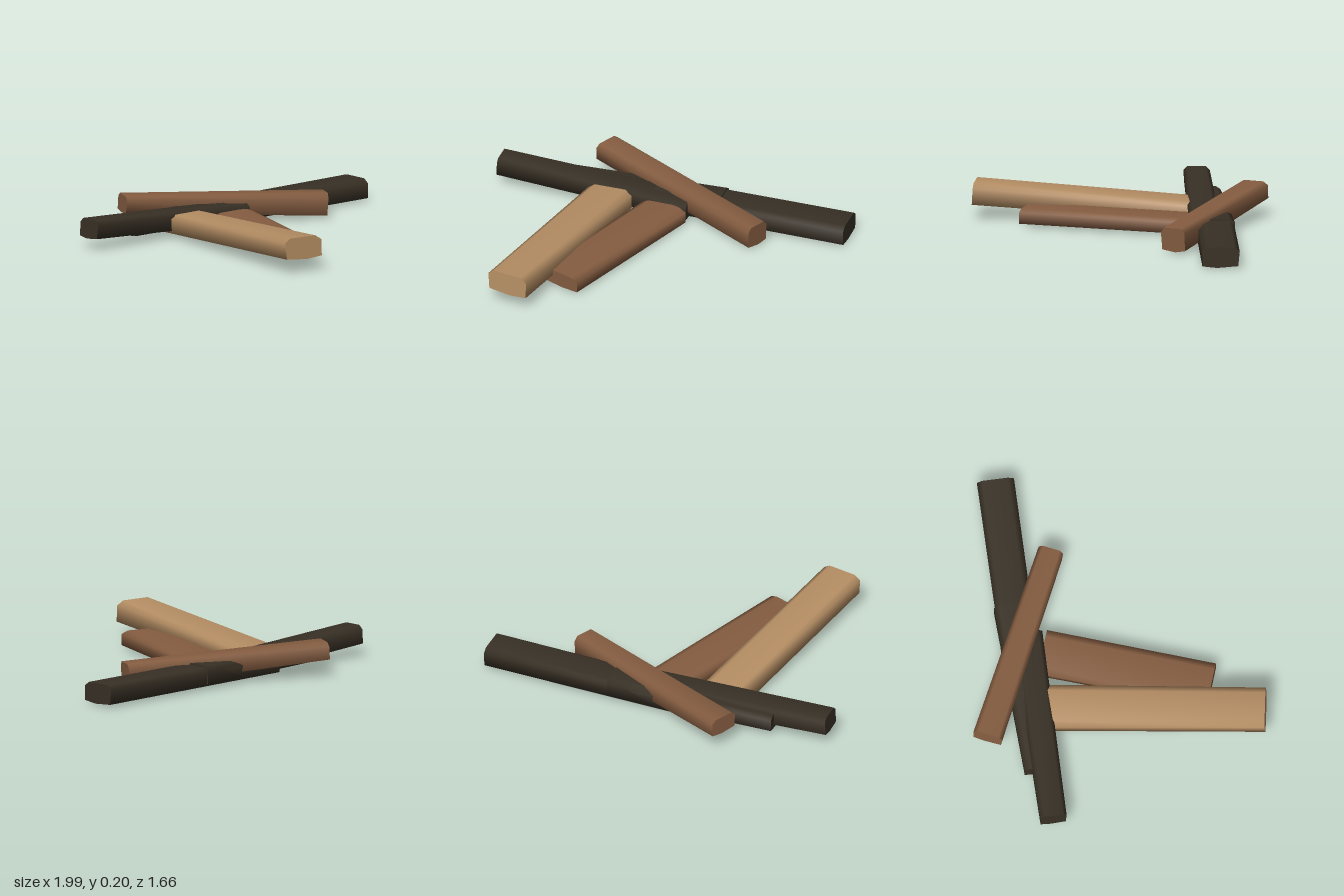
import * as THREE from 'three';

// Bevelled hand-hewn section, counter-clockwise, in fractions of width and height
const SECTION = [[-0.46, -0.42], [0.1, -0.5], [0.5, -0.42], [0.5, 0.3], [0.34, 0.5], [-0.36, 0.5], [-0.5, 0.3]];

// Smooth-sided beam with flat ends; sizes are [width, height] at either end
function beamGeometry(from, to, sizeA, sizeB) {
  const a = new THREE.Vector3(...from), b = new THREE.Vector3(...to);
  const d = b.clone().sub(a).normalize();
  const u = new THREE.Vector3(0, 1, 0).cross(d).normalize();
  const v = d.clone().cross(u);
  const n = SECTION.length;
  const pos = [], index = [];
  const ring = (centre, [w, h]) => {
    for (const [s, t] of SECTION) {
      const p = centre.clone().addScaledVector(u, s * w).addScaledVector(v, t * h);
      pos.push(p.x, p.y, p.z);
    }
  };
  // Two rings for the sides, two more for the caps
  for (let k = 0; k < 2; k++) {
    ring(a, sizeA);
    ring(b, sizeB);
  }
  for (let i = 0; i < n; i++) {
    const j = (i + 1) % n;
    index.push(i, j, n + j, i, n + j, n + i);
  }
  for (let i = 1; i < n - 1; i++) {
    index.push(2 * n, 2 * n + i + 1, 2 * n + i);
    index.push(3 * n, 3 * n + i, 3 * n + i + 1);
  }
  const g = new THREE.BufferGeometry();
  g.setAttribute('position', new THREE.Float32BufferAttribute(pos, 3));
  g.setIndex(index);
  g.computeVertexNormals();
  return g;
}

export function createModel() {
  const group = new THREE.Group();
  group.name = 'plankPile';
  const material = (name, color) => {
    const m = new THREE.MeshStandardMaterial({ color });
    m.name = name;
    return m;
  };
  const tan = material('paleWood', 0xb58e64);
  const brown = material('brownWood', 0x855d41);
  const dark = material('charredWood', 0x383025);

  const beams = [
    // Two planks reaching to the front
    ['palePlank', tan, [-0.325, 0.075, -0.46], [-0.293, 0.145, 0.82], [0.25, 0.11], [0.235, 0.125]],
    ['brownPlank', brown, [0, 0.062, -0.42], [-0.14, 0.063, 0.515], [0.26, 0.085], [0.25, 0.085]],
    // Crossing dark beams at the back
    ['darkBeamRightSide', dark, [-0.985, 0.125, -0.305], [0.1, 0.068, -0.51], [0.145, 0.11], [0.17, 0.115]],
    ['darkBeamLeftSide', dark, [0.975, 0.075, -0.73], [-0.3, 0.075, -0.49], [0.205, 0.115], [0.2, 0.11]],
    ['darkBeamMiddle', dark, [-0.69, 0.085, -0.4], [0.25, 0.085, -0.605], [0.16, 0.09], [0.19, 0.11]],
    // Brown beam resting on top
    ['topBeam', brown, [-0.54, 0.15, -0.69], [0.58, 0.083, -0.405], [0.165, 0.1], [0.14, 0.135]],
  ];
  for (const [name, mat, from, to, sizeA, sizeB] of beams) {
    const mesh = new THREE.Mesh(beamGeometry(from, to, sizeA, sizeB), mat);
    mesh.name = name;
    group.add(mesh);
  }
  return group;
}
